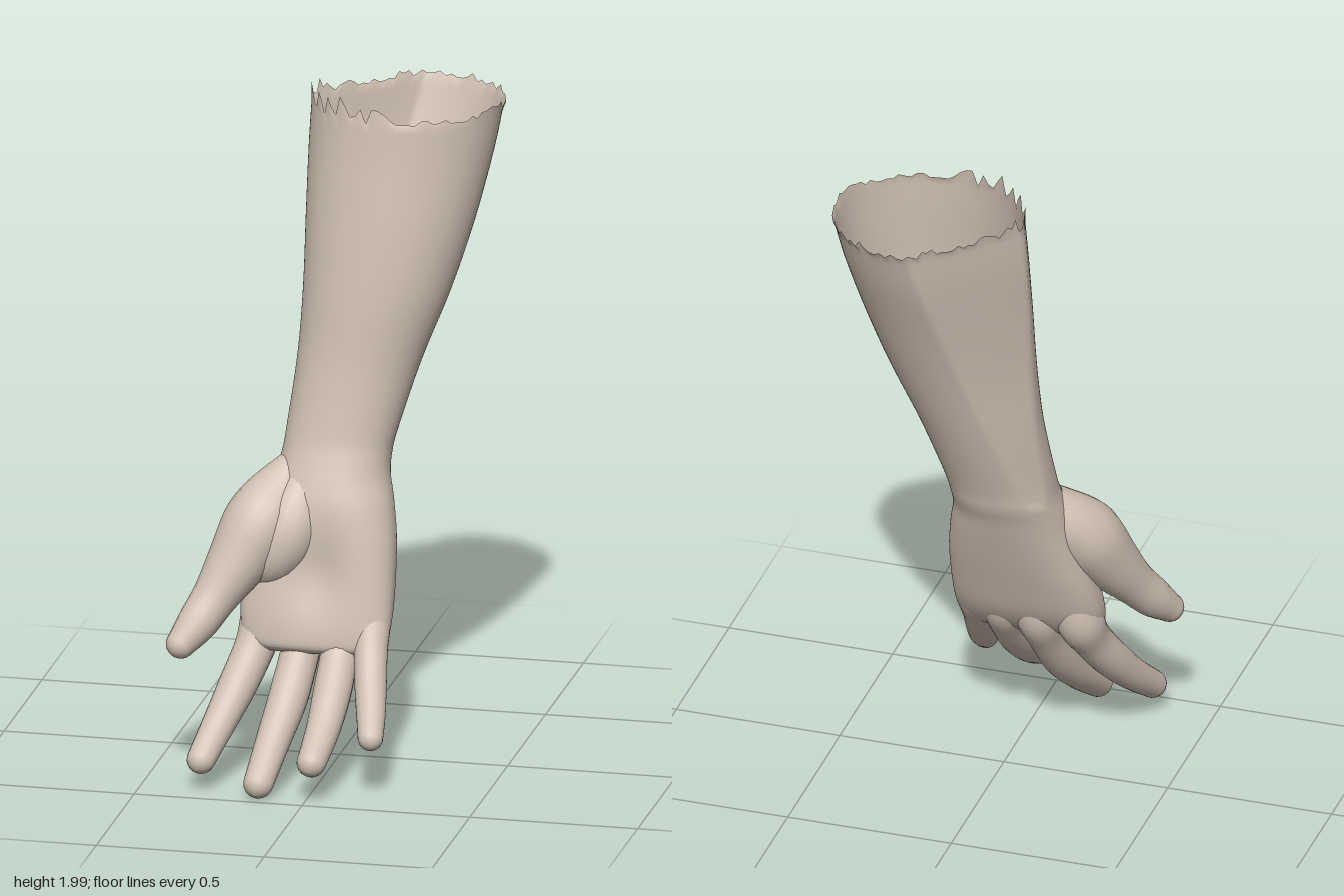
import * as THREE from 'three';

const skin = new THREE.MeshStandardMaterial({ color: 0xd2c2b4, side: THREE.DoubleSide });
skin.name = 'skin';

// Skin a list of rings (arrays of Vector3); the last ring is closed to its centre.
function loft(rings) {
  const n = rings[0].length;
  const points = rings.flat();
  const centre = new THREE.Vector3();
  rings[rings.length - 1].forEach(p => centre.addScaledVector(p, 1 / n));
  points.push(centre);
  const index = [];
  for (let i = 0; i < rings.length; i++) {
    for (let j = 0; j < n; j++) {
      const a = i * n + j, b = i * n + (j + 1) % n;
      if (i === rings.length - 1) index.push(a, b, points.length - 1);
      else index.push(a, b, a + n, b, b + n, a + n);
    }
  }
  const geometry = new THREE.BufferGeometry().setFromPoints(points);
  geometry.setIndex(index);
  geometry.computeVertexNormals();
  return geometry;
}

// Smooth interpolation through rows of numbers.
function smoothRows(rows, steps) {
  const out = [];
  for (let i = 0; i < rows.length - 1; i++) {
    const p0 = rows[Math.max(i - 1, 0)], p1 = rows[i];
    const p2 = rows[i + 1], p3 = rows[Math.min(i + 2, rows.length - 1)];
    for (let s = 0; s < steps; s++) {
      const t = s / steps;
      out.push(p1.map((v, k) => {
        const a = p2[k] - p0[k];
        const b = 2 * p0[k] - 5 * v + 4 * p2[k] - p3[k];
        const c = 3 * v - p0[k] - 3 * p2[k] + p3[k];
        return v + 0.5 * t * (a + t * (b + t * c));
      }));
    }
  }
  out.push(rows[rows.length - 1]);
  return out;
}

function random(seed) {
  return () => (seed = (seed * 16807) % 2147483647) / 2147483647;
}

// Forearm, wrist and palm: y, x min, x max, z min, z max, squareness, flattening of the inner back.
const armRows = [
  [1.93, -0.135, 0.427, -0.5, -0.002, 2, 0.32],
  [1.8, -0.138, 0.405, -0.458, 0.01, 2, 0.29],
  [1.6, -0.136, 0.36, -0.38, 0.035, 2, 0.23],
  [1.4, -0.134, 0.3, -0.308, 0.055, 2, 0.17],
  [1.2, -0.142, 0.225, -0.24, 0.07, 2, 0.1],
  [1.0, -0.162, 0.165, -0.17, 0.1, 2.1, 0.03],
  [0.93, -0.17, 0.15, -0.15, 0.12, 2.2, 0],
  [0.87, -0.185, 0.15, -0.124, 0.142, 2.2, 0],
  [0.8, -0.2, 0.165, -0.098, 0.165, 2.3, 0],
  [0.7, -0.225, 0.18, -0.06, 0.185, 2.4, 0],
  [0.6, -0.25, 0.185, -0.02, 0.2, 2.5, 0],
  [0.5, -0.265, 0.185, 0.022, 0.215, 2.5, 0],
  [0.43, -0.258, 0.18, 0.068, 0.222, 2.5, 0],
  [0.39, -0.24, 0.17, 0.11, 0.22, 2.4, 0],
  [0.37, -0.205, 0.145, 0.14, 0.2, 2.3, 0],
];

function armRing([y, x0, x1, z0, z1, power, flat], count) {
  const ring = [];
  const limit = (1 - flat) * (x1 - x0 + z1 - z0) / 4;
  for (let j = 0; j < count; j++) {
    const angle = j / count * Math.PI * 2, c = Math.cos(angle), s = Math.sin(angle);
    let dx = Math.sign(c) * Math.abs(c) ** (2 / power) * (x1 - x0) / 2;
    let dz = Math.sign(s) * Math.abs(s) ** (2 / power) * (z1 - z0) / 2;
    // shave the inner back of the forearm to a flatter plane
    if (flat > 0) {
      const excess = Math.max(0, -(dx + dz) * Math.SQRT1_2 - limit) * 0.9 * Math.SQRT1_2;
      dx += excess;
      dz += excess;
    }
    const x = (x0 + x1) / 2 + dx;
    let z = (z0 + z1) / 2 + dz;
    // hollow of the palm
    const u = (x + 0.03) / 0.09, v = (y - 0.6) / 0.12;
    if (s > 0) z -= 0.03 * s * Math.exp(-u * u - v * v);
    ring.push(new THREE.Vector3(x, y, z));
  }
  return ring;
}

function armGeometry() {
  const count = 96, rand = random(41);
  const rings = smoothRows(armRows, 4).map(row => armRing(row, count));
  // torn upper rim, with a rougher stretch at the front inner side
  const rim = armRing([1.95, -0.137, 0.432, -0.507, -0.007, 2, 0.32], count);
  rim.forEach((p, j) => {
    const rough = j > 24 && j < 52;
    p.y = rough ? 1.925 + 0.06 * rand() : 1.932 + 0.025 * rand() ** 2;
  });
  rim[33].y = 1.995;
  rings[0].forEach((p, j) => { p.y = Math.min(p.y, rim[j].y - 0.012); });
  return loft([rim, ...rings]);
}

// Finger swept through [x, y, z, radius] rows and finished with a round tip.
function fingerGeometry(rows) {
  const sides = 20, steps = smoothRows(rows, 5);
  const path = steps.map(r => new THREE.Vector3(r[0], r[1], r[2]));
  const last = path.length - 1;
  const rings = [];
  const addRing = (centre, tangent, radius) => {
    const across = new THREE.Vector3(1, 0, 0).addScaledVector(tangent, -tangent.x).normalize();
    const side = new THREE.Vector3().crossVectors(tangent, across);
    rings.push(Array.from({ length: sides }, (_, j) => {
      const a = j / sides * Math.PI * 2;
      return centre.clone().addScaledVector(across, radius * Math.cos(a))
        .addScaledVector(side, radius * Math.sin(a));
    }));
  };
  const tangentAt = i => path[Math.min(i + 1, last)].clone().sub(path[Math.max(i - 1, 0)]).normalize();
  path.forEach((p, i) => addRing(p, tangentAt(i), steps[i][3]));
  const tip = tangentAt(last), radius = steps[last][3];
  for (let k = 1; k <= 6; k++) {
    const a = k / 6.3 * Math.PI / 2;
    addRing(path[last].clone().addScaledVector(tip, radius * Math.sin(a)), tip, radius * Math.cos(a));
  }
  return loft(rings);
}

// Fingers, thumb and the fleshy mound at the thumb's root
const fingers = {
  indexFinger: [
    [-0.18, 0.58, 0.075, 0.04], [-0.195, 0.46, 0.108, 0.07], [-0.216, 0.37, 0.158, 0.06],
    [-0.25, 0.275, 0.228, 0.057], [-0.287, 0.18, 0.315, 0.049], [-0.32, 0.095, 0.415, 0.042],
  ],
  middleFinger: [
    [-0.06, 0.58, 0.07, 0.04], [-0.072, 0.46, 0.102, 0.068], [-0.083, 0.36, 0.153, 0.058],
    [-0.1, 0.245, 0.237, 0.058], [-0.122, 0.145, 0.333, 0.051], [-0.14, 0.047, 0.455, 0.044],
  ],
  ringFinger: [
    [0.03, 0.58, 0.075, 0.04], [0.036, 0.47, 0.112, 0.065], [0.038, 0.375, 0.168, 0.056],
    [0.036, 0.28, 0.256, 0.056], [0.03, 0.193, 0.355, 0.05], [0.02, 0.125, 0.465, 0.043],
  ],
  littleFinger: [
    [0.11, 0.58, 0.085, 0.038], [0.122, 0.48, 0.125, 0.058], [0.134, 0.39, 0.185, 0.05],
    [0.15, 0.3, 0.258, 0.047], [0.165, 0.237, 0.32, 0.043], [0.178, 0.185, 0.385, 0.037],
  ],
  thumb: [
    [-0.12, 0.89, 0.03, 0.055], [-0.165, 0.81, 0.07, 0.092], [-0.212, 0.73, 0.122, 0.108],
    [-0.265, 0.63, 0.175, 0.09], [-0.32, 0.535, 0.232, 0.067], [-0.363, 0.465, 0.283, 0.059],
    [-0.4, 0.415, 0.325, 0.044],
  ],
  thumbMound: [
    [-0.08, 0.87, 0.05, 0.06], [-0.105, 0.79, 0.087, 0.088], [-0.13, 0.71, 0.118, 0.096],
    [-0.17, 0.63, 0.135, 0.08], [-0.2, 0.57, 0.13, 0.045],
  ],
};

export function createModel() {
  const model = new THREE.Group();
  model.name = 'forearmAndHand';
  const add = (name, geometry) => {
    const mesh = new THREE.Mesh(geometry, skin);
    mesh.name = name;
    model.add(mesh);
  };
  add('forearmAndPalm', armGeometry());
  for (const [name, rows] of Object.entries(fingers)) add(name, fingerGeometry(rows));
  return model;
}
